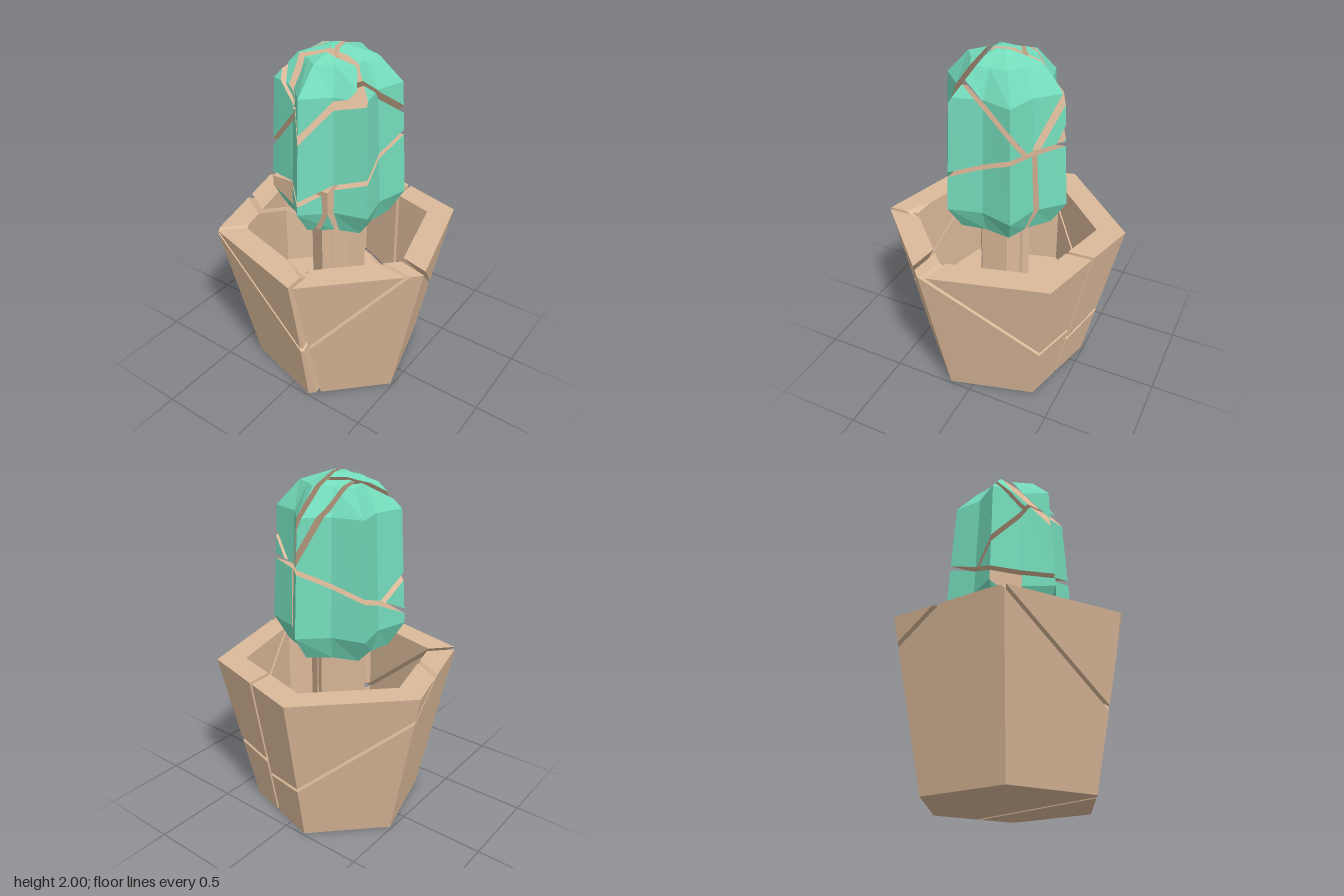
import * as THREE from 'three';

const V = (x, y, z) => new THREE.Vector3(x, y, z);
const polar = (r, deg, y) => V(r * Math.cos(deg * Math.PI / 180), y, r * Math.sin(deg * Math.PI / 180));
const material = (color) => new THREE.MeshStandardMaterial({ color, flatShading: true });
const materials = { skin: material(0x74dcbc), clay: material(0xdcba9a) };

// Solid block between two rings; a null tag marks a face hidden inside the part
function block(low, high, sides, lowTag, highTag) {
  const faces = [{ p: low, tag: lowTag }, { p: high, tag: highTag }];
  low.forEach((a, i) => {
    const j = (i + 1) % low.length;
    faces.push({ p: [a, low[j], high[j]], tag: sides[i] }, { p: [a, high[j], high[i]], tag: sides[i] });
  });
  return faces;
}

// Cut a block by a plane, keep the negative side and close the cut with clay
function cut(faces, plane) {
  const rim = [], out = [];
  for (const { p, tag } of faces) {
    const kept = [];
    p.forEach((a, i) => {
      const b = p[(i + 1) % p.length];
      const da = plane.distanceToPoint(a), db = plane.distanceToPoint(b);
      if (da <= 0) kept.push(a);
      if ((da <= 0) !== (db <= 0)) {
        const c = a.clone().lerp(b, da / (da - db));
        kept.push(c);
        rim.push(c);
      }
    });
    if (kept.length > 2) out.push({ p: kept, tag });
  }
  if (rim.length > 2) {
    const mid = rim.reduce((s, q) => s.add(q), V(0, 0, 0)).divideScalar(rim.length);
    const u = V(0.31, 0.52, 0.79).cross(plane.normal).normalize();
    const w = plane.normal.clone().cross(u);
    const angle = (q) => { const d = q.clone().sub(mid); return Math.atan2(d.dot(w), d.dot(u)); };
    out.push({ p: rim.sort((a, b) => angle(a) - angle(b)), tag: 'clay' });
  }
  return out;
}

// Crack through three points; the first branch lies on the side of "toward"
const crack = (pts, toward, near = null, far = null) => {
  const plane = new THREE.Plane().setFromCoplanarPoints(...pts.map((q) => V(...q)));
  if (plane.distanceToPoint(V(...toward)) > 0) plane.negate();
  return { plane, near, far };
};

// Every end of the crack tree becomes one list of cutting planes
function cells(node, gap, planes = []) {
  if (!node) return [planes];
  const a = node.plane.clone(), b = node.plane.clone().negate();
  a.constant += gap;
  b.constant += gap;
  return [...cells(node.near, gap, [...planes, a]), ...cells(node.far, gap, [...planes, b])];
}

// Break a list of blocks into separate pieces
function shatter(name, blocks, tree, gap) {
  const group = new THREE.Group();
  group.name = name;
  cells(tree, gap).forEach((planes, n) => {
    const pos = { skin: [], clay: [] };
    for (const source of blocks) {
      const faces = planes.reduce(cut, source);
      const all = faces.flatMap((f) => f.p);
      if (!all.length) continue;
      const centre = all.reduce((s, q) => s.add(q), V(0, 0, 0)).divideScalar(all.length);
      for (const { p, tag } of faces) {
        if (!tag) continue;
        for (let i = 1; i < p.length - 1; i++) {
          let tri = [p[0], p[i], p[i + 1]];
          const normal = tri[1].clone().sub(tri[0]).cross(tri[2].clone().sub(tri[0]));
          if (normal.length() < 1e-9) continue;
          if (normal.dot(tri[0].clone().sub(centre)) < 0) tri = [tri[0], tri[2], tri[1]];
          tri.forEach((q) => pos[tag].push(q.x, q.y, q.z));
        }
      }
    }
    for (const tag of ['skin', 'clay']) {
      if (!pos[tag].length) continue;
      const geometry = new THREE.BufferGeometry();
      geometry.setAttribute('position', new THREE.Float32BufferAttribute(pos[tag], 3));
      geometry.computeVertexNormals();
      const mesh = new THREE.Mesh(geometry, materials[tag]);
      mesh.name = `${name}Piece${n + 1}${tag === 'skin' ? 'Skin' : 'Core'}`;
      group.add(mesh);
    }
  });
  return group;
}

// Six-sided pot: tapered walls over a solid base
function potBlocks() {
  const H = 0.94, floor = 0.35, inner = 0.54;
  const outer = (y) => 0.505 + 0.2 * y / H;
  const blocks = [];
  for (let k = 0; k < 6; k++) {
    const a = 45 + 60 * k, b = a + 60;
    const wall = (y) => [polar(inner, a, y), polar(outer(y), a, y), polar(outer(y), b, y), polar(inner, b, y)];
    const base = (y) => [V(0, y, 0), polar(outer(y), a, y), polar(outer(y), b, y)];
    blocks.push(block(wall(floor), wall(H), [null, 'clay', null, 'clay'], null, 'clay'));
    blocks.push(block(base(0), base(floor), [null, 'clay', null], 'clay', 'clay'));
  }
  return blocks;
}

// Six-ribbed cactus: star-shaped rings of [height, rib radius, valley radius]
function cactusBlocks() {
  const rings = [[1.02, 0.29, 0.23], [1.16, 0.378, 0.28], [1.81, 0.34, 0.25], [1.95, 0.21, 0.17], [2, 0.05, 0.04]];
  const blocks = [];
  for (let r = 0; r < rings.length - 1; r++) {
    for (let k = 0; k < 12; k++) {
      const wedge = ([y, rib, valley]) =>
        [V(0, y, 0), polar(k % 2 ? valley : rib, 30 * k, y), polar(k % 2 ? rib : valley, 30 * (k + 1), y)];
      blocks.push(block(wedge(rings[r]), wedge(rings[r + 1]), [null, 'skin', null],
        r === 0 ? 'skin' : null, r === rings.length - 2 ? 'skin' : null));
    }
  }
  return blocks;
}

export function createModel() {
  const model = new THREE.Group();
  model.name = 'crackedCactusPot';

  // Pot cracks: one across the middle, then chips along the rim
  const frontCracks = crack([[-0.16, 0.94, 0.67], [0.38, 0.43, 0.45], [-0.12, 0.94, 0.5]], [0.4, 0.94, 0.4], null,
    crack([[-0.24, 0.94, 0.6], [-0.22, 0.94, 0.45], [-0.55, 0.43, 0.2]], [-0.6, 0.94, 0.3]));
  const backCracks = crack([[0.53, 0.36, -0.13], [0.18, 0.78, -0.65], [-0.1, 0.94, -0.6]], [0.6, 0.94, -0.3], null,
    crack([[-0.5, 0.92, -0.48], [-0.38, 0.92, -0.37], [-0.57, 0.43, 0.16]], [-0.65, 0.94, 0]));
  const potCracks = crack([[0, 0, 0.155], [1, 0, 0.115], [0, 1, 0.155]], [0, 0, 1], frontCracks, backCracks);
  model.add(shatter('pot', potBlocks(), potCracks, 0.011));

  // Cactus cracks: lower and upper half, each broken further
  const lowerCracks = crack([[0, 1, 0.13], [1, 1, 0.13], [0, 2, 0.13]], [0, 1, 1], null,
    crack([[-0.2, 1, -0.325], [-0.27, 1, 0.1], [-0.2, 2, -0.325]], [-1, 1, 0]));
  const backTop = crack([[0, 1.96, -0.16], [-0.17, 1.86, -0.26], [-0.15, 1.75, -0.05]], [-0.1, 2, -0.05], null,
    crack([[0, 1.97, -0.15], [0.2, 1.93, -0.13], [0.34, 1.6, 0]], [0.1, 2, 0]));
  const cap = crack([[0.35, 1.5, 0.1], [0.33, 1.8, 0], [-0.1, 2, 0.04]], [0, 2, 0.3], null, backTop);
  const front = crack([[-0.13, 1.88, 0.22], [0.2, 1.63, 0.3], [0, 1.5, -0.05]], [0, 1.4, 0.3], null, cap);
  const upperCracks = crack([[-0.36, 1.57, 0.05], [-0.13, 1.88, 0.22], [-0.1, 1.97, -0.05]], [-0.4, 2, 0], null, front);
  const cactusCracks = crack([[0, 1.38, 0], [1, 1.8, 0], [0, 1.6, 1]], [0, 0, 0], lowerCracks, upperCracks);
  model.add(shatter('cactus', cactusBlocks(), cactusCracks, 0.013));

  // Stem joining the cactus to the pot floor
  const stemRing = (y) => [0, 60, 120, 180, 240, 300].map((a) => polar(0.16, a, y));
  const stemCracks = crack([[0, 0, 0.05], [1, 0, 0.05], [0, 1, 0.05]], [0, 0, 1], null,
    crack([[-0.08, 0, 0], [-0.08, 1, 0], [-0.08, 0, 1]], [-1, 0, 0]));
  model.add(shatter('stem', [block(stemRing(0.35), stemRing(1.03), Array(6).fill('clay'), 'clay', 'clay')], stemCracks, 0.008));

  return model;
}
